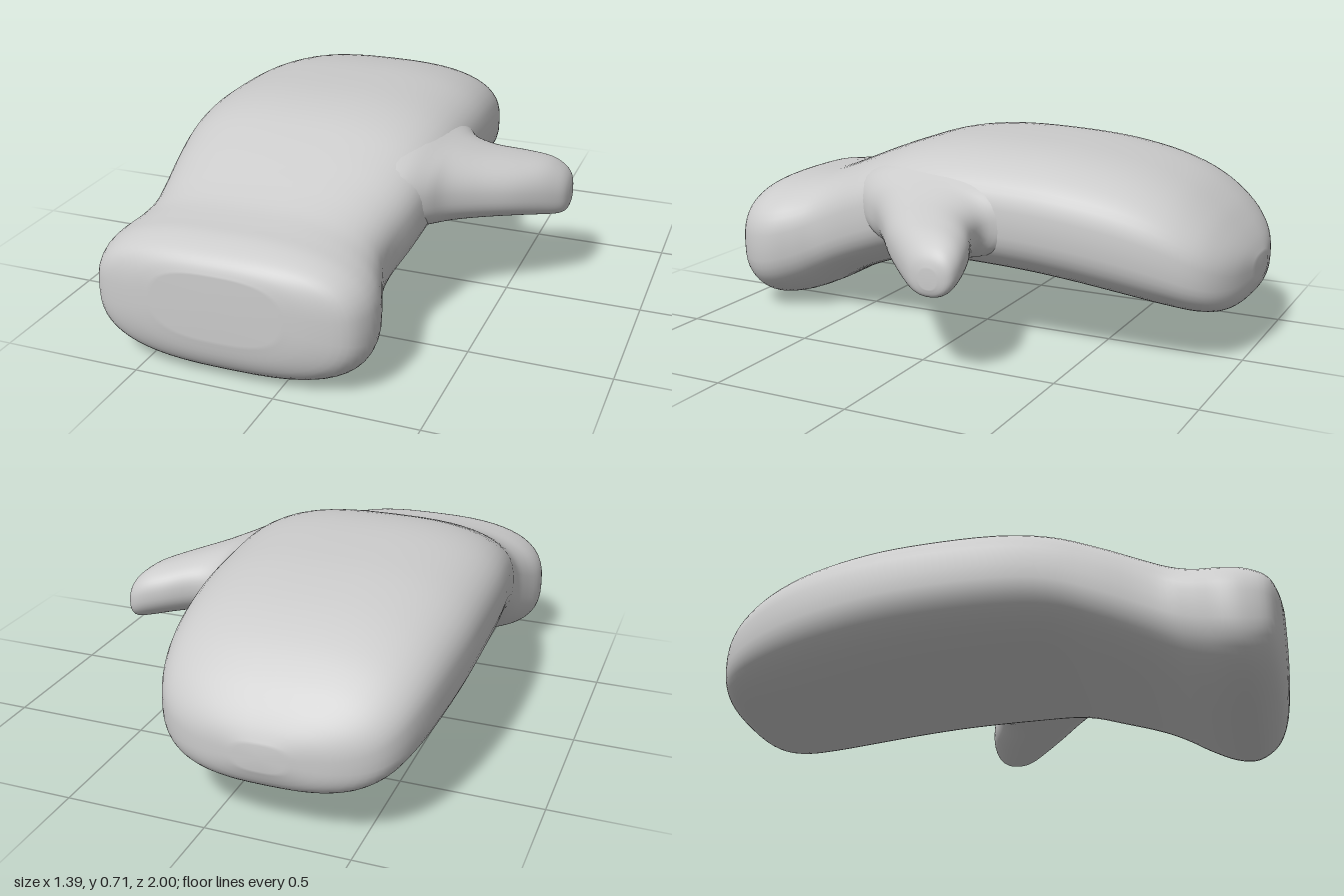
import * as THREE from 'three';

const material = new THREE.MeshStandardMaterial({ color: 0xcccccc });

// Smooth loft through rounded-rectangle sections.
// Each station: [along, uMin, uMax, vMin, vMax]; place maps (along, u, v) to a point.
function loft(stations, power, place, steps = 4, sides = 56) {
  const at = (i) => stations[Math.max(0, Math.min(stations.length - 1, i))];
  const rings = [];
  for (let i = 0; i < stations.length - 1; i++) {
    for (let s = 0; s < steps; s++) {
      const t = s / steps;
      rings.push(at(i).map((p1, k) => {
        const p0 = at(i - 1)[k], p2 = at(i + 1)[k], p3 = at(i + 2)[k];
        return p1 + 0.5 * t * (p2 - p0 + t * (2 * p0 - 5 * p1 + 4 * p2 - p3 + t * (3 * (p1 - p2) + p3 - p0)));
      }));
    }
  }
  rings.push(at(stations.length - 1));

  const pos = [], index = [];
  const bend = (c) => Math.sign(c) * Math.pow(Math.abs(c), 2 / power);
  for (const [a, u0, u1, v0, v1] of rings) {
    for (let j = 0; j < sides; j++) {
      const angle = (j / sides) * Math.PI * 2;
      const u = (u0 + u1) / 2 + bend(Math.cos(angle)) * (u1 - u0) / 2;
      const v = (v0 + v1) / 2 + bend(Math.sin(angle)) * (v1 - v0) / 2;
      pos.push(...place(a, u, v));
    }
  }
  for (let i = 0; i < rings.length - 1; i++) {
    for (let j = 0; j < sides; j++) {
      const a = i * sides + j, b = i * sides + (j + 1) % sides;
      index.push(a, a + sides, b, b, a + sides, b + sides);
    }
  }
  // End caps
  const last = (rings.length - 1) * sides, centre = pos.length / 3;
  for (const [a, u0, u1, v0, v1] of [rings[0], rings[rings.length - 1]]) {
    pos.push(...place(a, (u0 + u1) / 2, (v0 + v1) / 2));
  }
  for (let j = 0; j < sides; j++) {
    const k = (j + 1) % sides;
    index.push(centre, j, k, centre + 1, last + k, last + j);
  }
  const geometry = new THREE.BufferGeometry();
  geometry.setAttribute('position', new THREE.Float32BufferAttribute(pos, 3));
  geometry.setIndex(index);
  geometry.computeVertexNormals();
  return geometry;
}

export function createModel() {
  const group = new THREE.Group();
  group.name = 'mitten';

  // Cuff, wrist and palm in one skin: z, x range, y range
  const hand = [
    [1.0, -0.42, 0.03, 0.17, 0.40],
    [0.985, -0.53, 0.14, 0.10, 0.435],
    [0.95, -0.64, 0.245, 0.045, 0.465],
    [0.88, -0.682, 0.292, 0.004, 0.493],
    [0.80, -0.687, 0.297, 0.01, 0.503],
    [0.71, -0.658, 0.268, 0.045, 0.518],
    [0.63, -0.636, 0.245, 0.088, 0.545],
    [0.54, -0.638, 0.248, 0.132, 0.582],
    [0.40, -0.658, 0.28, 0.187, 0.638],
    [0.24, -0.678, 0.305, 0.238, 0.688],
    [0.05, -0.695, 0.32, 0.245, 0.71],
    [-0.2, -0.70, 0.312, 0.235, 0.706],
    [-0.4, -0.695, 0.302, 0.217, 0.69],
    [-0.6, -0.675, 0.28, 0.19, 0.652],
    [-0.75, -0.645, 0.25, 0.168, 0.595],
    [-0.86, -0.60, 0.205, 0.156, 0.52],
    [-0.93, -0.53, 0.135, 0.163, 0.45],
    [-0.975, -0.42, 0.03, 0.195, 0.39],
    [-1.0, -0.28, -0.11, 0.25, 0.34],
  ];
  const palm = new THREE.Mesh(loft(hand, 2.75, (z, x, y) => [x, y, z]), material);
  palm.name = 'handAndCuff';
  group.add(palm);

  // Thumb flaring out of the side: x, z range, y range
  const thumbSections = [
    [0.12, -0.36, 0.50, 0.30, 0.655],
    [0.22, -0.30, 0.44, 0.31, 0.635],
    [0.29, -0.23, 0.36, 0.318, 0.605],
    [0.34, -0.16, 0.285, 0.32, 0.585],
    [0.42, -0.155, 0.21, 0.32, 0.557],
    [0.53, -0.20, 0.12, 0.313, 0.527],
    [0.61, -0.22, 0.04, 0.302, 0.502],
    [0.66, -0.218, -0.02, 0.296, 0.468],
    [0.685, -0.20, -0.06, 0.305, 0.435],
    [0.695, -0.165, -0.10, 0.33, 0.40],
  ];
  const thumb = new THREE.Mesh(loft(thumbSections, 2.3, (x, z, y) => [x, y, z]), material);
  thumb.name = 'thumb';
  group.add(thumb);

  return group;
}
